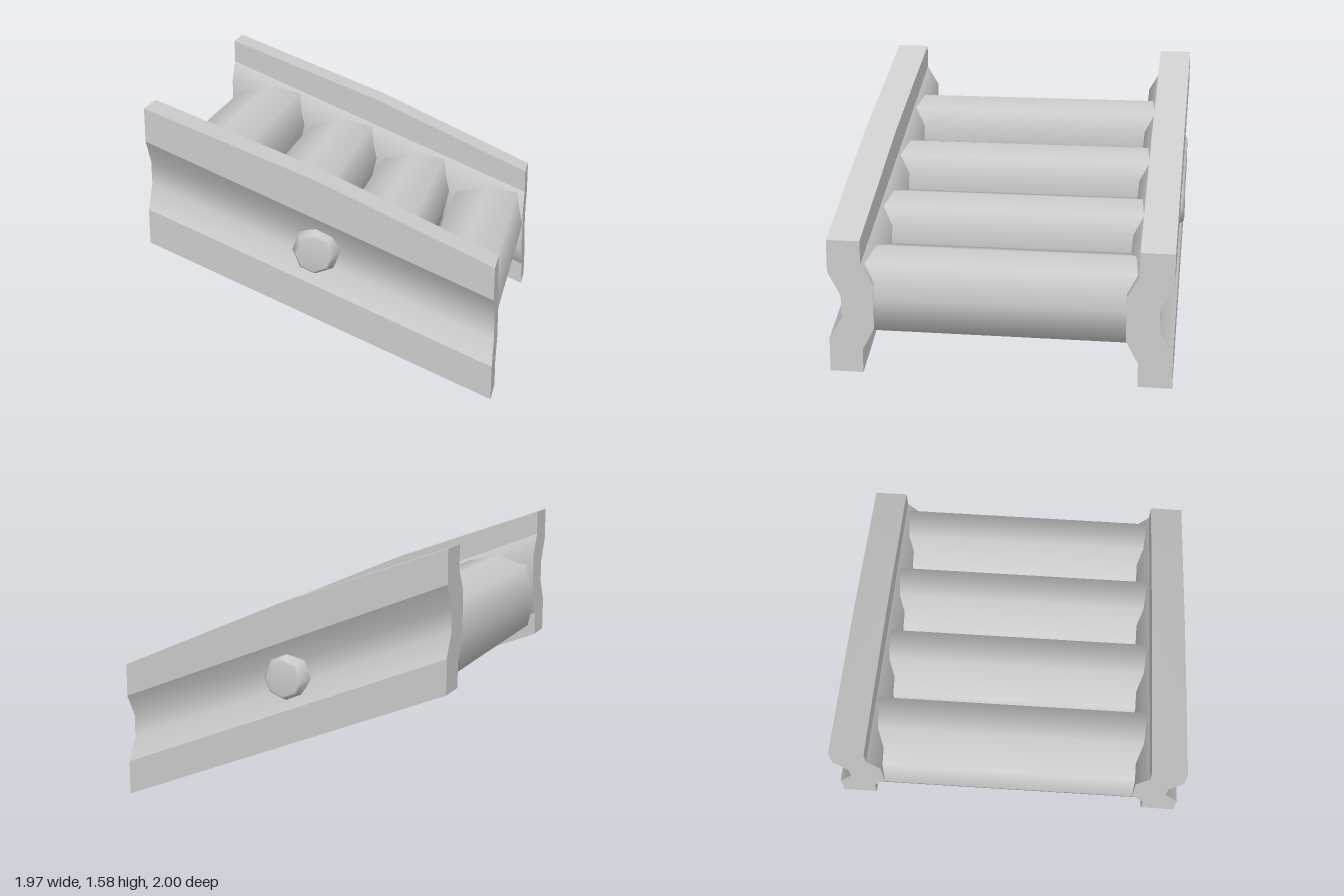
import * as THREE from 'three';
import { mergeGeometries } from 'three/addons/utils/BufferGeometryUtils.js';

const HALF = 0.985; // half length of the rails
const RISE = 0.79;  // height gained from the low end to the high end

// Rail cross-section as [z, y] runs; each run is smooth, with hard edges between runs
const RUNS = [
  [[0.985, 0], [0.985, 0.2]],
  [[0.985, 0.2], [0.91, 0.33], [0.91, 0.46], [0.985, 0.6]],
  [[0.985, 0.6], [0.985, 0.79]],
  [[0.985, 0.79], [0.79, 0.79]],
  [[0.79, 0.79], [0.79, 0.65]],
  [[0.79, 0.65], [0.72, 0.53], [0.72, 0.27], [0.79, 0.14]],
  [[0.79, 0.14], [0.79, 0]],
  [[0.79, 0], [0.985, 0]],
];

function railGeometry(side) {
  const stations = [-HALF, 0, HALF];
  const lift = x => RISE * (HALF - x) / (2 * HALF);
  const parts = RUNS.map(run => {
    const pos = [], index = [], n = run.length;
    for (const x of stations) {
      for (const [z, y] of run) {
        const bump = x === 0 && y === 0.79 ? 0.035 : 0; // slight crown on the top edge
        pos.push(x, y + lift(x) + bump, z * side);
      }
    }
    for (let i = 0; i < stations.length - 1; i++) {
      for (let j = 0; j < n - 1; j++) {
        const a = i * n + j, b = a + n, c = b + 1, d = a + 1;
        index.push(...(side > 0 ? [a, b, c, a, c, d] : [a, c, b, a, d, c]));
      }
    }
    const g = new THREE.BufferGeometry();
    g.setAttribute('position', new THREE.Float32BufferAttribute(pos, 3));
    g.setIndex(index);
    g.computeVertexNormals();
    return g;
  });
  // End faces
  const outline = RUNS.flatMap(run => run.slice(0, -1));
  for (const end of [-1, 1]) {
    const shape = new THREE.Shape(outline.map(([z, y]) => new THREE.Vector2(-end * side * z, y)));
    const cap = new THREE.ShapeGeometry(shape);
    cap.deleteAttribute('uv');
    cap.rotateY(end * Math.PI / 2);
    cap.translate(end * HALF, lift(end * HALF), 0);
    parts.push(cap);
  }
  return mergeGeometries(parts);
}

// Eight-sided bar with its diagonal corners pushed out towards a square
function treadGeometry() {
  const g = new THREE.CylinderGeometry(0.246, 0.246, 1.7, 8);
  g.rotateX(Math.PI / 2);
  const p = g.attributes.position;
  for (let i = 0; i < p.count; i++) {
    const x = p.getX(i), y = p.getY(i);
    if (Math.abs(x) > 0.1 && Math.abs(y) > 0.1) {
      p.setXY(i, Math.sign(x) * 0.2, Math.sign(y) * 0.2);
    }
  }
  return g;
}

// Low-poly domed stud on the outside of a rail
function studGeometry(side) {
  const profile = [[0.137, 0.86], [0.137, 0.93], [0.115, 0.985], [0.1, 1], [0, 1]];
  const g = new THREE.LatheGeometry(profile.map(([r, h]) => new THREE.Vector2(r, h)), 8);
  g.rotateX(side * Math.PI / 2);
  return g;
}

export function createModel() {
  const model = new THREE.Group();
  model.name = 'stairSection';
  const material = new THREE.MeshStandardMaterial({ color: 0xcccccc });
  const add = (name, geometry, x = 0, y = 0) => {
    const mesh = new THREE.Mesh(geometry, material);
    mesh.name = name;
    mesh.position.set(x, y, 0);
    model.add(mesh);
  };

  for (const side of [1, -1]) {
    const label = side > 0 ? 'front' : 'back';
    add(label + 'Rail', railGeometry(side));
    add(label + 'Stud', studGeometry(side), -0.027, 0.795);
  }

  // Treads descending towards +x
  const tread = treadGeometry();
  for (let i = 0; i < 4; i++) {
    add('tread' + (i + 1), tread, -0.739 + i * 0.4925, 1.045 - i * 0.2);
  }
  return model;
}
